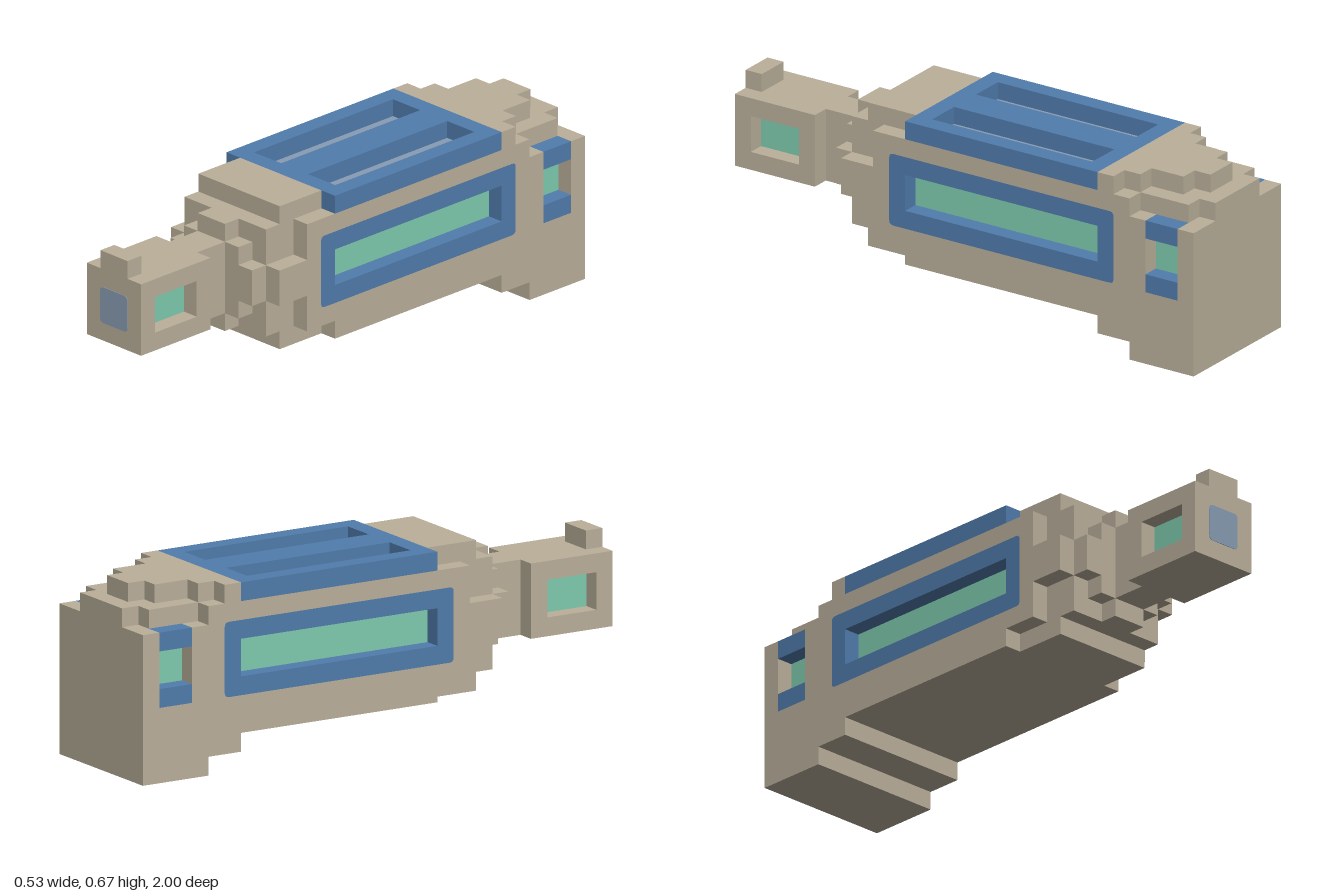
import * as THREE from 'three';

const U = 1 / 15; // grid unit; every dimension below is in these units

const material = (name, color) => Object.assign(new THREE.MeshStandardMaterial({ color }), { name });

// Closed outline from points, optionally with holes
function outline(points, holes = []) {
  const shape = new THREE.Shape(points.map(([a, b]) => new THREE.Vector2(a, b)));
  shape.holes = holes;
  return shape;
}

// Rectangle with slightly softened corners
function softRect(a0, b0, a1, b1, r) {
  const s = new THREE.Shape();
  s.moveTo(a0 + r, b0);
  s.lineTo(a1 - r, b0).quadraticCurveTo(a1, b0, a1, b0 + r);
  s.lineTo(a1, b1 - r).quadraticCurveTo(a1, b1, a1 - r, b1);
  s.lineTo(a0 + r, b1).quadraticCurveTo(a0, b1, a0, b1 - r);
  s.lineTo(a0, b0 + r).quadraticCurveTo(a0, b0, a0 + r, b0);
  return s;
}
const rect = (a0, b0, a1, b1) => outline([[a0, b0], [a1, b0], [a1, b1], [a0, b1]]);

export function createModel() {
  const tan = material('tan hull', 0xbaaf9a);
  const blue = material('blue trim', 0x507cac);
  const green = material('green glass', 0x7fccaf);
  const grey = material('grey blue panel', 0x889cb3);

  const model = new THREE.Group();
  model.name = 'blockShip';
  model.scale.setScalar(U);

  const add = (name, geometry, mat) => {
    const mesh = new THREE.Mesh(geometry, mat);
    mesh.name = name;
    model.add(mesh);
    return mesh;
  };
  // Box between two corners
  const box = (name, mat, x0, x1, y0, y1, z0, z1) => add(name,
    new THREE.BoxGeometry(x1 - x0, y1 - y0, z1 - z0)
      .translate((x0 + x1) / 2, (y0 + y1) / 2, (z0 + z1) / 2), mat);
  // Side profile (z, y) extruded across x0..x1
  const slab = (name, mat, shape, x0, x1) => add(name,
    new THREE.ExtrudeGeometry(shape, { depth: x1 - x0, bevelEnabled: false, curveSegments: 3 })
      .rotateY(-Math.PI / 2).translate(x1, 0, 0), mat);

  // Central hull
  slab('hullCore', tan, outline([
    [-15, 0], [-11, 0], [-11, 1], [-9, 1], [-9, 2], [6, 2], [6, 3], [7, 3], [7, 9], [6, 9],
    [6, 10], [3, 10], [3, 9], [-14, 9], [-14, 8], [-15, 8],
  ]), -3, 3);
  box('sternRaisedEdge', tan, -2, 2, 8, 9, -15, -14);

  // Hull flanks with framed windows, mirrored
  for (const s of [-1, 1]) {
    const side = s > 0 ? 'left' : 'right';
    const span = (a, b) => (s > 0 ? [a, b] : [-b, -a]);
    const [x0, x1] = span(3, 4);
    slab(side + 'Flank', tan, outline([
      [-15, 0], [-11, 0], [-11, 1], [-9, 1], [-9, 2], [3, 2], [3, 3], [5, 3], [5, 9],
      [-11, 9], [-11, 8], [-12, 8], [-12, 4], [-14, 4], [-14, 8], [-15, 8],
    ], [softRect(-10, 4, 4, 8, 0.25)]), x0, x1);
    const frame = softRect(-10, 4, 4, 8, 0.25);
    frame.holes = [rect(-9, 5, 3, 7)];
    slab(side + 'WindowFrame', blue, frame, x0, x1);
    box(side + 'RearWindowSill', blue, x0, x1, 4, 5, -14, -12);
    box(side + 'RearWindowHead', blue, x0, x1, 7, 8, -14, -12);
    box(side + 'WindowGlass', green, ...span(3, 3.06), 5, 7, -9, 3);
    box(side + 'RearWindowGlass', green, ...span(3, 3.06), 5, 7, -14, -12);
    box(side + 'ForwardBracket', tan, x0, x1, 5, 7, 5, 7);

    // Nose cheek with a small window
    slab(side + 'NoseCheek', tan, outline([[10, 4], [15, 4], [15, 8], [10, 8]],
      [rect(11, 5, 14, 7)]), ...span(1, 2));
    box(side + 'NoseGlass', green, ...span(1, 1.06), 5, 7, 11, 14);

    // Roof recess floor
    box(side + 'RoofRecess', grey, ...span(1, 3), 9, 9.06, -8, 2);
  }

  // Blue roof with two slots
  const roof = outline([[-4, -3], [4, -3], [4, 9], [-4, 9]],
    [rect(-3, -2, -1, 8), rect(1, -2, 3, 8)]);
  add('roofPanel', new THREE.ExtrudeGeometry(roof, { depth: 1, bevelEnabled: false })
    .rotateX(-Math.PI / 2).translate(0, 9, 0), blue);

  // Tapering rear roof
  const taper = outline([
    [-4, 9], [4, 9], [4, 10], [3, 10], [3, 11], [2, 11], [2, 13], [1, 13], [1, 14],
    [-1, 14], [-1, 13], [-2, 13], [-2, 11], [-3, 11], [-3, 10], [-4, 10],
  ]);
  add('rearRoof', new THREE.ExtrudeGeometry(taper, { depth: 1, bevelEnabled: false })
    .rotateX(-Math.PI / 2).translate(0, 9, 0), tan);

  // Stepped collar in front of the hull
  const collar = outline([
    [-1, 3], [1, 3], [1, 4], [2, 4], [2, 5], [3, 5], [3, 7], [2, 7], [2, 8], [1, 8], [1, 9],
    [-1, 9], [-1, 8], [-2, 8], [-2, 7], [-3, 7], [-3, 5], [-2, 5], [-2, 4], [-1, 4],
  ]);
  add('collar', new THREE.ExtrudeGeometry(collar, { depth: 1, bevelEnabled: false })
    .translate(0, 0, 7), tan);

  // Neck and nose
  box('neckAndNoseCore', tan, -1, 1, 4, 8, 8, 15);
  box('noseFin', tan, -1, 1, 8, 9, 14, 15);
  add('noseLens', new THREE.ExtrudeGeometry(softRect(-1, 5, 1, 7, 0.25),
    { depth: 0.03, bevelEnabled: false, curveSegments: 3 }).translate(0, 0, 15), grey);

  const root = new THREE.Group();
  root.name = 'model';
  root.add(model);
  return root;
}
